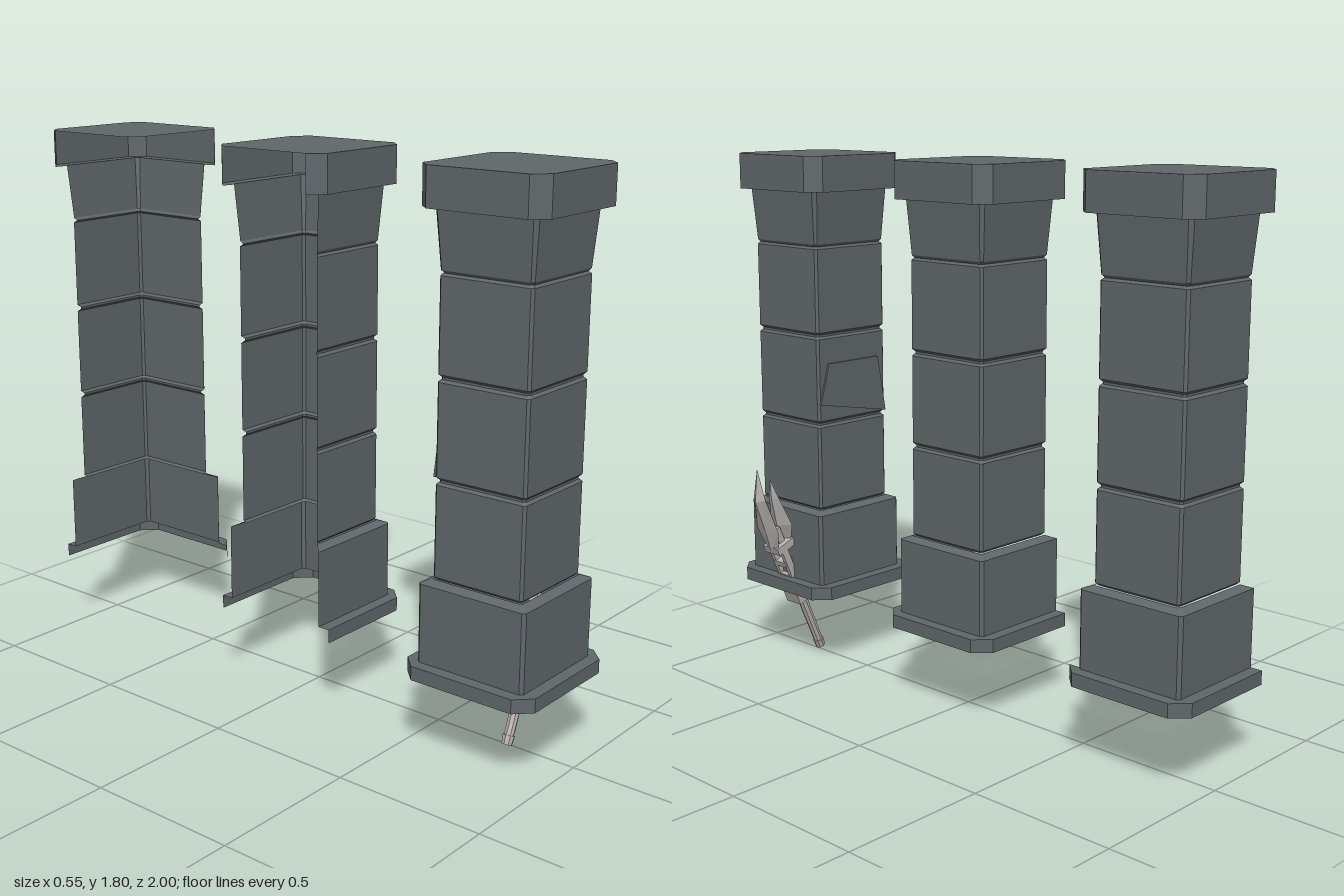
import * as THREE from 'three';

const stone = new THREE.MeshStandardMaterial({ color: 0x60676a, side: THREE.DoubleSide, flatShading: true });
stone.name = 'darkStone';
const metal = new THREE.MeshStandardMaterial({ color: 0xb8b2b0, side: THREE.DoubleSide, flatShading: true });
metal.name = 'paleMetal';

// Geometry from a flat list of corner points, three per triangle
function facets(points) {
  const g = new THREE.BufferGeometry().setFromPoints(points);
  g.computeVertexNormals();
  return g;
}
const quad = (out, a, b, c, d) => out.push(a, b, c, a, c, d);

// Square ring with cut corners: two points per side, in the order +z, +x, -z, -x
function ring([half, y, cut]) {
  const pts = [];
  for (let k = 0; k < 4; k++) {
    const s = [0, 1, 0, -1][k], c = [1, 0, -1, 0][k];
    for (const t of [cut - half, half - cut]) {
      pts.push(new THREE.Vector3(s * half + c * t, y, c * half - s * t));
    }
  }
  return pts;
}

// Strips between rings; faces lists the kept sides (even) and cut corners (odd)
function strips(profile, faces) {
  const out = [], rings = profile.map(ring);
  for (let i = 0; i < rings.length - 1; i++) {
    for (const f of faces) {
      const n = (f + 1) % 8;
      quad(out, rings[i][f], rings[i][n], rings[i + 1][n], rings[i + 1][f]);
    }
  }
  return out;
}
function lid(row, up) {
  const out = [], p = ring(row);
  for (let i = 1; i < 7; i++) out.push(p[0], up ? p[i] : p[i + 1], up ? p[i + 1] : p[i]);
  return out;
}

// Pillar outline as [half width, height, corner cut]
const plinth = [[0.228, 0.266, 0.05], [0.228, 0.311, 0.05], [0.188, 0.311, 0.01]];
const base = [[0.188, 0.311, 0.01], [0.188, 0.562, 0.01], [0.157, 0.574, 0.008]];
const shaft = [];
for (let i = 0; i < 3; i++) {
  const y = 0.574 + i * 0.309;
  shaft.push([0.149, y, 0.008], [0.157, y + 0.008, 0.008], [0.157, y + 0.294, 0.008], [0.149, y + 0.302, 0.008]);
}
const capital = [[0.149, 1.493, 0.008], [0.156, 1.502, 0.008], [0.17, 1.68, 0.012]];
const cap = [[0.17, 1.68, 0.012], [0.212, 1.68, 0.045], [0.212, 1.8, 0.045]];

function pillar(name, z, faces, capFaces, closed) {
  const g = new THREE.Group();
  g.name = name;
  g.position.set(-0.052, 0, z);
  const add = (part, pts) => {
    const m = new THREE.Mesh(facets(pts), stone);
    m.name = part;
    g.add(m);
  };
  add('plinth', [...strips(plinth, faces), ...(closed ? lid(plinth[0], false) : [])]);
  add('base', strips(base, faces));
  add('shaftBlocks', strips([...shaft, capital[0]], faces));
  add('capital', strips(capital, faces));
  add('cap', [...strips(cap, capFaces), ...lid(cap[2], true)]);
  return g;
}

// Blade half lofted from rows of [along, inner, outer, half width]
function blade(rows) {
  const out = [];
  const sections = rows.map(([v, a, b, w]) => {
    const m = (a + b) / 2;
    return [[b, 0], [m, -w], [a, 0], [m, w]].map(([x, z]) => new THREE.Vector3(x, v, z));
  });
  for (let i = 0; i < sections.length - 1; i++) {
    for (let k = 0; k < 4; k++) {
      const n = (k + 1) % 4, lo = sections[i], hi = sections[i + 1];
      quad(out, lo[k], lo[n], hi[n], hi[k]);
    }
  }
  const s = sections[0];
  quad(out, s[3], s[2], s[1], s[0]);
  return facets(out);
}

function sword() {
  const g = new THREE.Group();
  g.name = 'sword';
  g.position.set(-0.012, 0.01, 0.768);
  g.rotation.z = -0.39;
  const add = (name, geo, x = 0, y = 0, z = 0) => {
    const m = new THREE.Mesh(geo, metal);
    m.name = name;
    m.position.set(x, y, z);
    g.add(m);
    return m;
  };
  const box = (name, w, h, d, x, y, z) => add(name, new THREE.BoxGeometry(w, h, d), x, y, z);

  add('grip', new THREE.CylinderGeometry(0.018, 0.016, 0.22, 8), 0, 0.12);
  add('pommel', new THREE.CylinderGeometry(0.02, 0.017, 0.03, 8), 0, 0.012);
  box('collar', 0.078, 0.065, 0.074, 0, 0.255, 0);
  // Open frame between collar and blade
  for (const s of [-1, 1]) box('frameBar', 0.026, 0.18, 0.016, 0.018, 0.37, s * 0.03);
  for (const y of [0.335, 0.39]) box('frameRung', 0.04, 0.02, 0.06, 0.012, y, 0);
  box('bladeSeat', 0.078, 0.028, 0.08, 0.008, 0.46, 0);
  box('bladeCore', 0.026, 0.06, 0.04, 0.005, 0.5, 0);
  add('outerBlade', blade([[0.46, 0.028, 0.05, 0.03], [0.54, 0.018, 0.041, 0.058], [0.66, -0.006, 0.036, 0.032], [0.766, -0.02, -0.02, 0]]));
  add('innerBlade', blade([[0.46, -0.034, -0.012, 0.03], [0.53, -0.058, -0.012, 0.058], [0.63, -0.056, -0.03, 0.028], [0.7, -0.053, -0.053, 0]]));
  return g;
}

export function createModel() {
  const model = new THREE.Group();
  const all = [0, 1, 2, 3, 4, 5, 6, 7];
  // The rear pillars are open shells on their hidden sides
  model.add(pillar('frontPillar', 0.77, all, all, true));
  model.add(pillar('middlePillar', 0.002, [0, 1, 2, 3, 4], [0, 1, 2, 3, 4, 5, 7], false));
  model.add(pillar('backPillar', -0.77, [1, 2, 3, 4], [1, 2, 3, 4, 5], false));

  // Thin slab on the back of the front pillar
  const outline = [[0.1, 0.95], [0.06, 1.09], [-0.17, 1.09], [-0.205, 0.89]].map(([x, y]) => new THREE.Vector2(x, y));
  const slab = new THREE.Mesh(new THREE.ExtrudeGeometry(new THREE.Shape(outline), { depth: 0.008, bevelEnabled: false }), stone);
  slab.name = 'backSlab';
  slab.position.z = 0.606;
  model.add(slab);

  // Sword leaning through the base, with a hook below the plinth
  model.add(sword());
  for (const [w, h, x, y] of [[0.09, 0.012, 0.0, 0.255], [0.008, 0.05, -0.041, 0.235]]) {
    const hook = new THREE.Mesh(new THREE.BoxGeometry(w, h, 0.04), metal);
    hook.name = 'swordHook';
    hook.position.set(x, y, 0.768);
    model.add(hook);
  }
  return model;
}
